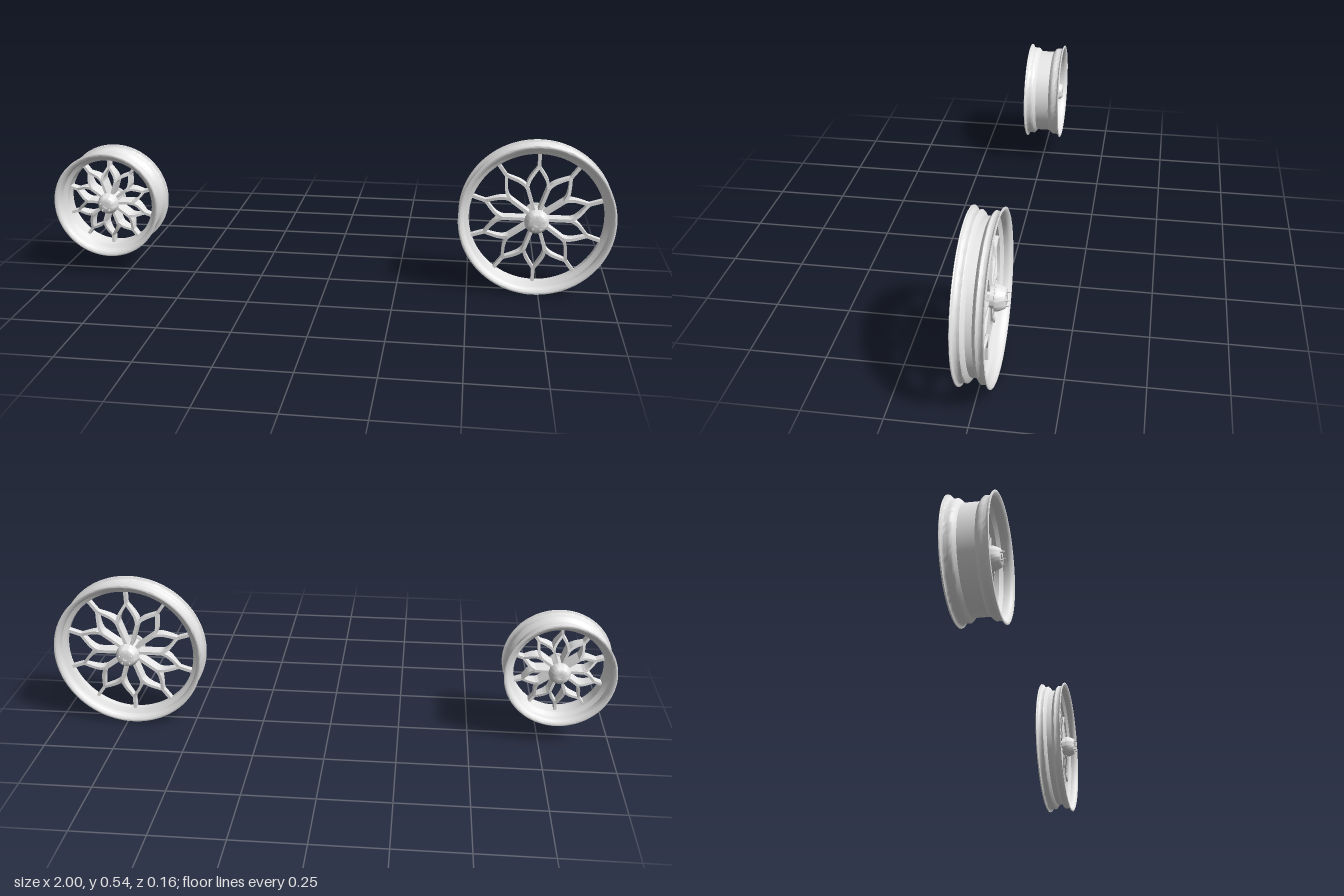
import * as THREE from 'three';
import { toCreasedNormals } from 'three/addons/utils/BufferGeometryUtils.js';

const metal = new THREE.MeshStandardMaterial({ color: 0xe7e7e7 });
metal.name = 'light grey metal';
const PETALS = 10;
const STEP = (Math.PI * 2) / PETALS;

function addMesh(parent, name, geometry) {
  const mesh = new THREE.Mesh(geometry, metal);
  mesh.name = name;
  parent.add(mesh);
  return mesh;
}

// Revolve [radius, z] pairs around the z axis
function revolve(profile, segments) {
  const pts = profile.map(([r, z]) => new THREE.Vector2(r, z));
  const g = new THREE.LatheGeometry(pts, segments).rotateX(Math.PI / 2);
  return toCreasedNormals(g, 0.8);
}

// Rectangular bar swept along a flat curve; its depth blends from d0 to d1
function blade(curve, steps, width, d0, d1) {
  const pos = [], idx = [];
  for (let i = 0; i <= steps; i++) {
    const t = i / steps, p = curve.getPoint(t), tan = curve.getTangent(t);
    const d = (d0 + (d1 - d0) * t) / 2, w = width / 2;
    for (const [a, b] of [[w, d], [-w, d], [-w, -d], [w, -d]]) {
      pos.push(p.x - tan.y * a, p.y + tan.x * a, b);
    }
  }
  for (let i = 0; i < steps; i++) {
    for (let j = 0; j < 4; j++) {
      const a = i * 4 + j, b = i * 4 + (j + 1) % 4;
      idx.push(a, b, b + 4, a, b + 4, a + 4);
    }
  }
  const e = steps * 4;
  idx.push(0, 2, 1, 0, 3, 2, e, e + 1, e + 2, e, e + 2, e + 3);
  const g = new THREE.BufferGeometry();
  g.setAttribute('position', new THREE.Float32BufferAttribute(pos, 3));
  g.setIndex(idx);
  return toCreasedNormals(g, 0.6);
}

function polar(r, angle) {
  return new THREE.Vector2(r * Math.cos(angle), r * Math.sin(angle));
}

function makeWheel(name, s) {
  const wheel = new THREE.Group();
  wheel.name = name;

  // Rim: mirrored outer half profile, then mirrored inner half profile
  const mirror = (half) => [...half.map(([r, z]) => [r, -z]), ...half.slice().reverse()];
  const outer = mirror(s.rimOuter);
  const inner = mirror(s.rimInner).reverse();
  addMesh(wheel, 'rim', revolve([...outer, ...inner, outer[0]], 96));

  // Petal spokes: a stem in each valley forks into two curves meeting at the tips
  const half = STEP / 2;
  const stem = blade(new THREE.LineCurve(polar(s.hub * 0.6, 0), polar(s.fork, 0)),
    1, s.bar, s.depth, s.depth);
  const stub = blade(new THREE.LineCurve(polar(s.tip - 0.004, half), polar(s.rimInside, half)),
    1, s.bar, s.tipDepth, s.tipDepth);
  const forks = [1, -1].map((side) => blade(new THREE.CubicBezierCurve(
    polar(s.fork - 0.006, 0),
    polar(s.fork + (s.tip - s.fork) * 0.35, side * half * 0.1),
    polar(s.tip - (s.tip - s.fork) * 0.35, side * half * 0.72),
    polar(s.tip, side * half)), 10, s.bar * 0.9, s.depth * 0.98, s.tipDepth));
  for (let i = 0; i < PETALS; i++) {
    const parts = [['petalStem', stem], ['petalCurve', forks[0]],
      ['petalCurve', forks[1]], ['petalTip', stub]];
    for (const [label, g] of parts) addMesh(wheel, label, g).rotation.z = i * STEP;
  }

  // Hub: barrel with a tapered cap and recessed bore on both faces
  const c = s.hub, h = s.hubEnd;
  const side = [[0.01, h - 0.004], [0.01, h], [c * 0.68, h], [c * 0.76, h - 0.003],
    [c, h - 0.024], [c, h - 0.032], [c * 0.8, h - 0.034]];
  addMesh(wheel, 'hub', revolve([[0, 0.004 - h], ...mirror(side), [0, h - 0.004]], 40));

  // Ring of small hub bolts
  const bolt = new THREE.CylinderGeometry(0.0025, 0.0025, 0.009, 10).rotateX(Math.PI / 2);
  for (const z of s.boltFaces) {
    for (let i = 0; i < 5; i++) {
      const p = polar(c * 0.54, Math.PI / 2 + (i * Math.PI * 2) / 5);
      addMesh(wheel, 'hubBolt', bolt).position.set(p.x, p.y, z * (h + 0.004));
    }
  }
  return wheel;
}

export function createModel() {
  const model = new THREE.Group();
  model.name = 'wheelPair';

  const large = makeWheel('largeWheel', {
    rimOuter: [[0.266, 0.05], [0.27, 0.048], [0.269, 0.045], [0.262, 0.043], [0.257, 0.038],
      [0.256, 0.03], [0.258, 0.022], [0.254, 0.018], [0.24, 0.01]],
    rimInner: [[0.262, 0.049], [0.252, 0.042], [0.249, 0.034], [0.249, 0.022], [0.233, 0.012]],
    rimInside: 0.238, hub: 0.042, hubEnd: 0.07, boltFaces: [1, -1],
    fork: 0.118, tip: 0.187, bar: 0.0115, depth: 0.046, tipDepth: 0.022,
  });
  large.position.set(0.73, 0.27, -0.001);

  const small = makeWheel('smallWheel', {
    rimOuter: [[0.19, 0.071], [0.194, 0.069], [0.193, 0.066], [0.186, 0.064], [0.181, 0.059],
      [0.18, 0.05], [0.181, 0.04], [0.177, 0.035], [0.166, 0.026]],
    rimInner: [[0.186, 0.07], [0.177, 0.063], [0.174, 0.055], [0.173, 0.039], [0.159, 0.028]],
    rimInside: 0.163, hub: 0.038, hubEnd: 0.068, boltFaces: [1],
    fork: 0.084, tip: 0.132, bar: 0.0095, depth: 0.062, tipDepth: 0.032,
  });
  small.position.set(-0.805, 0.267, -0.001);

  model.add(large, small);
  return model;
}
